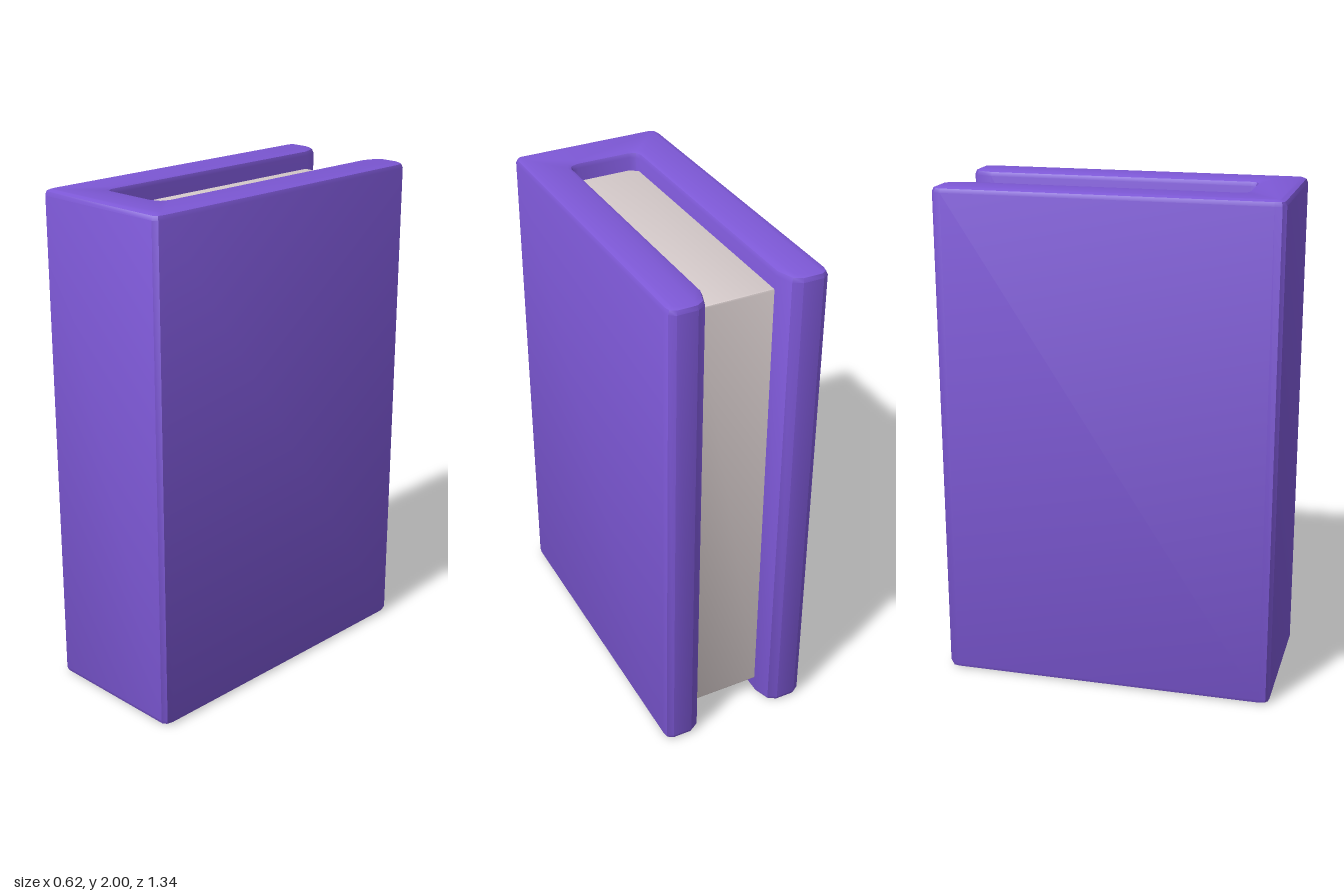
import * as THREE from 'three';
import { toCreasedNormals } from 'three/addons/utils/BufferGeometryUtils.js';

const coverMaterial = new THREE.MeshStandardMaterial({ color: 0x7d58d6 });
const pageMaterial = new THREE.MeshStandardMaterial({ color: 0xd8cdcd });

// Extrudes a left-right symmetric floor plan, given as its +x half in [x, z], from y0 to y1
function extrudePlan(half, y0, y1, bevel) {
  const mirrored = half.map(([x, z]) => [-x, z]).reverse();
  const shape = new THREE.Shape([...half, ...mirrored].map(([x, z]) => new THREE.Vector2(x, -z)));
  const geometry = new THREE.ExtrudeGeometry(shape, {
    depth: y1 - y0 - 2 * bevel,
    bevelEnabled: bevel > 0,
    bevelSize: bevel,
    bevelThickness: bevel,
    bevelOffset: -bevel,
    bevelSegments: 2,
  });
  geometry.rotateX(-Math.PI / 2).translate(0, y0 + bevel, 0);
  return toCreasedNormals(geometry, 0.6);
}

export function createModel() {
  const book = new THREE.Group();
  book.name = 'book';

  // Cover: thick U of spine and two boards with softened edges
  const coverPlan = [
    [0.285, 0.672], [0.304, 0.658], [0.31, 0.63],
    [0.31, -0.63], [0.304, -0.656], [0.28, -0.672],
    [0.2, -0.672], [0.166, -0.652], [0.142, -0.585],
    [0.142, 0.47], [0.134, 0.49], [0.11, 0.5],
  ];
  const cover = new THREE.Mesh(extrudePlan(coverPlan, 0, 2, 0.022), coverMaterial);
  cover.name = 'cover';
  book.add(cover);

  // Pages: recessed block filling the gap between the boards
  const pagePlan = [[0.11, 0.505], [0.146, 0.48], [0.146, -0.58]];
  const pages = new THREE.Mesh(extrudePlan(pagePlan, 0.075, 1.925, 0.008), pageMaterial);
  pages.name = 'pages';
  book.add(pages);

  return book;
}
